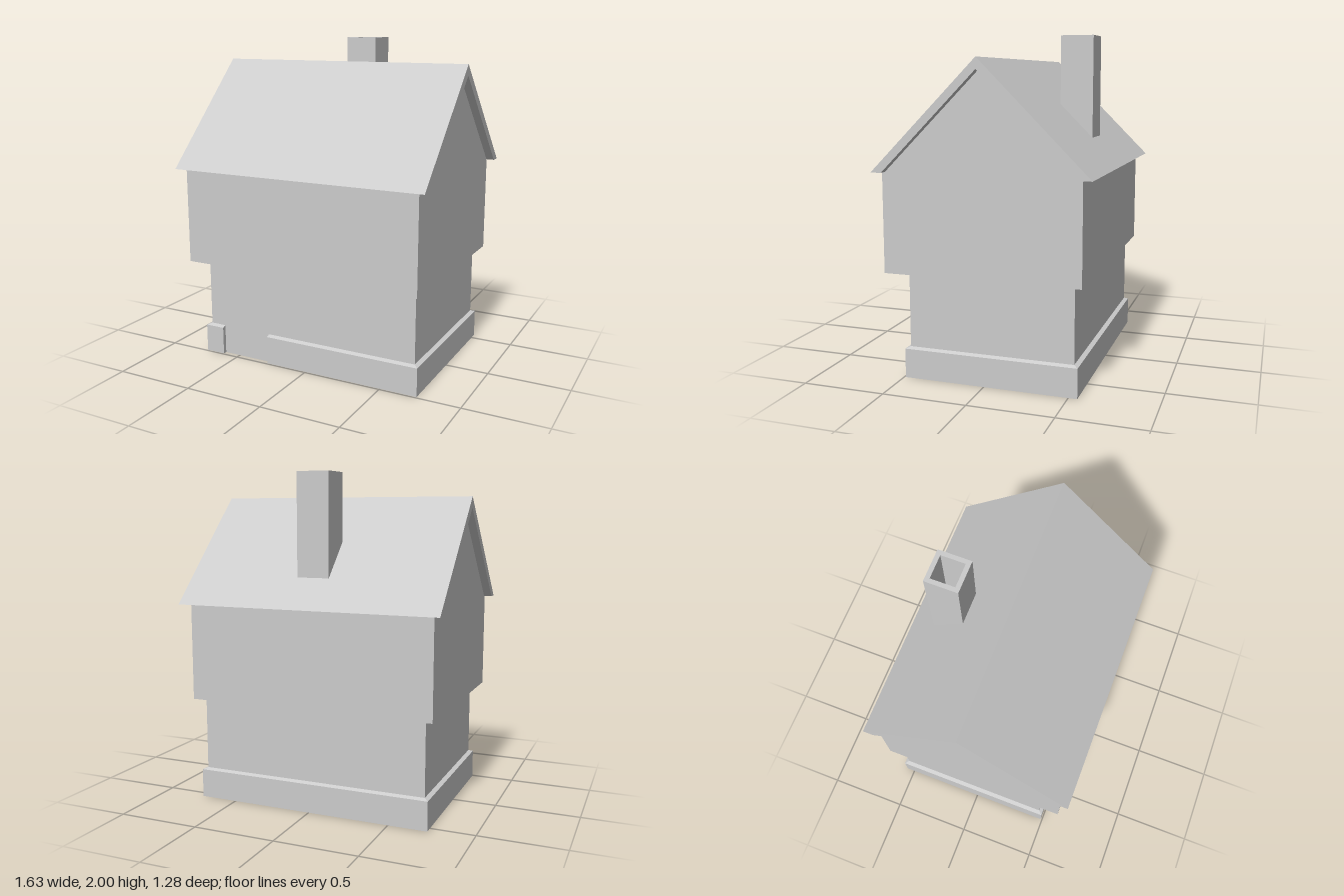
import * as THREE from 'three';

// Flat-faced geometry from a list of four-cornered faces
function fromQuads(quads) {
  const pos = [];
  for (const [a, b, c, d] of quads) pos.push(...a, ...b, ...c, ...a, ...c, ...d);
  const g = new THREE.BufferGeometry();
  g.setAttribute('position', new THREE.Float32BufferAttribute(pos, 3));
  g.computeVertexNormals();
  return g;
}

// Faces joining successive loops of points
function loft(loops, closed) {
  const quads = [];
  for (let k = 0; k < loops.length - 1; k++) {
    const A = loops[k], B = loops[k + 1], n = A.length;
    for (let i = 0; i < (closed ? n : n - 1); i++) {
      const j = (i + 1) % n;
      quads.push([A[i], A[j], B[j], B[i]]);
    }
  }
  return quads;
}

const rect = (x0, x1, z0, z1, y) => [[x0, y, z1], [x1, y, z1], [x1, y, z0], [x0, y, z0]];

export function createModel() {
  const group = new THREE.Group();
  const grey = new THREE.MeshStandardMaterial({ color: 0xcccccc, side: THREE.DoubleSide });
  grey.name = 'plain grey';
  const add = (name, geometry) => {
    const mesh = new THREE.Mesh(geometry, grey);
    mesh.name = name;
    group.add(mesh);
  };

  // Lower storey: hollow, open below, reaching the ground only at the doorway
  const X0 = -0.71, X1 = 0.707, Z0 = -0.527, Z1 = 0.465;
  const doorL = -0.608, doorR = -0.275, trimTop = 0.185;
  add('lowerStorey', fromQuads([
    ...loft([rect(X0, X1, Z0, Z1, trimTop), rect(X0, X1, Z0, Z1, 0.63)], true),
    [[doorL, 0, Z1], [doorR, 0, Z1], [doorR, trimTop, Z1], [doorL, trimTop, Z1]],
  ]));

  // Upper storey: overhang, walls and gables
  const U = 0.764, UZ0 = -0.58, UZ1 = 0.595, eave = 1.22;
  add('overhang', fromQuads(loft([rect(X0, X1, Z0, Z1, 0.63), rect(-U, U, UZ0, UZ1, 0.63)].reverse(), true)
    .map((q) => q.reverse())));
  add('upperStorey', fromQuads(loft([rect(-U, U, UZ0, UZ1, 0.63), rect(-U, U, UZ0, UZ1, eave)], true)));
  for (const s of [-1, 1]) {
    const peak = [s * U, 1.795, 0];
    add(s > 0 ? 'leftGable' : 'rightGable',
      fromQuads([[[s * U, eave, s * 0.577], [s * U, eave, -s * 0.577], peak, peak]]));
  }

  // Plinth: a thin band around the foot, interrupted by the doorway
  const ring = (d, y) => [
    [doorR, y, Z1 + d], [X1 + d, y, Z1 + d], [X1 + d, y, Z0 - d],
    [X0 - d, y, Z0 - d], [X0 - d, y, Z1 + d], [doorL, y, Z1 + d],
  ];
  const section = [[0.01, 0], [0.025, 0], [0.025, 0.175], [0, trimTop], [0.01, 0.172], [0.01, 0]];
  const cap = (x) => [[0, 0], [0.025, 0], [0.025, 0.175], [0, trimTop]].map(([d, y]) => [x, y, Z1 + d]);
  add('plinth', fromQuads([
    ...loft(section.map(([d, y]) => ring(d, y)), false),
    cap(doorR), cap(doorL).reverse(),
  ]));

  // Roof: folded slab with level eaves
  const fold = new THREE.Shape([
    [-0.642, eave], [-0.577, eave], [0, 1.795], [0.577, eave], [0.642, eave], [0, 1.86],
  ].map(([a, b]) => new THREE.Vector2(a, b)));
  const roof = new THREE.ExtrudeGeometry(fold, { depth: 1.626, bevelEnabled: false });
  roof.translate(0, 0, -0.813).rotateY(Math.PI / 2);
  add('roof', roof);

  // Chimney: square tube whose foot follows the back slope
  const square = (r) => [[-r, -r], [r, -r], [r, r], [-r, r]].map(([a, b]) => new THREE.Vector2(a, b));
  const tube = new THREE.Shape(square(0.1));
  tube.holes.push(new THREE.Path(square(0.073)));
  const chimney = new THREE.ExtrudeGeometry(tube, { depth: 1, bevelEnabled: false });
  chimney.rotateX(-Math.PI / 2).translate(0, 0, -0.37);
  const p = chimney.attributes.position;
  for (let i = 0; i < p.count; i++) p.setY(i, p.getY(i) > 0.5 ? 2 : 1.83 + p.getZ(i));
  chimney.computeVertexNormals();
  add('chimney', chimney);

  return group;
}
